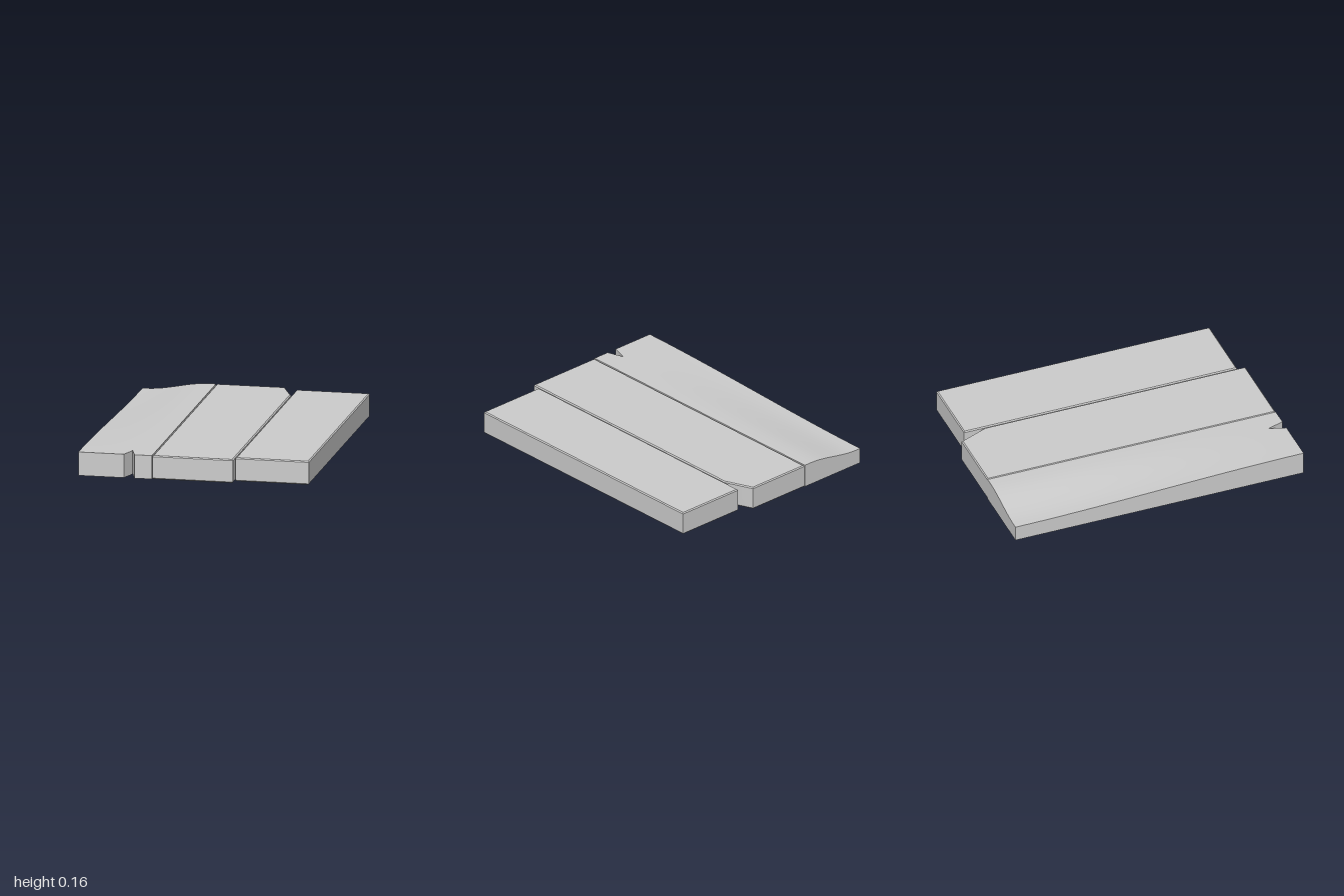
import * as THREE from 'three';
import { toCreasedNormals } from 'three/addons/utils/BufferGeometryUtils.js';

const HEIGHT = 0.156;
const material = new THREE.MeshStandardMaterial({ color: 0xcccccc });

// Flat plank with slightly chamfered edges, from an outline of [x, z] corners
function bevelledPlank(name, outline) {
  const b = 0.007;
  const shape = new THREE.Shape(outline.map(([x, z]) => new THREE.Vector2(x, -z)));
  const geo = new THREE.ExtrudeGeometry(shape, {
    depth: HEIGHT - 2 * b, bevelThickness: b, bevelSize: b, bevelOffset: -b, bevelSegments: 1,
  });
  geo.rotateX(-Math.PI / 2);
  geo.translate(0, b, 0);
  const mesh = new THREE.Mesh(toCreasedNormals(geo, 0.4), material);
  mesh.name = name;
  return mesh;
}

// Plank worn down towards its outer back corner, with a V notch in the front end
function wornPlank() {
  const columns = [-0.755, -0.70, -0.65, -0.60, -0.55, -0.50, -0.455, -0.42, -0.385, -0.33, -0.27];
  const nx = columns.length - 1, nz = 14;
  const geo = new THREE.BoxGeometry(1, 1, 1, nx, 1, nz);
  const pos = geo.attributes.position;
  for (let i = 0; i < pos.count; i++) {
    const x = columns[Math.round((pos.getX(i) + 0.5) * nx)];
    let z = pos.getZ(i) * 2;
    if (z > 0.99 && x === -0.42) z = 0.89;
    const across = 1 - THREE.MathUtils.smoothstep(x, -0.72, -0.32);
    const along = 1 - THREE.MathUtils.smoothstep(z, -1, 1);
    const y = pos.getY(i) > 0 ? HEIGHT - 0.052 * across * along : 0;
    pos.setXYZ(i, x, y, z);
  }
  const mesh = new THREE.Mesh(toCreasedNormals(geo, 0.4), material);
  mesh.name = 'wornNotchedPlank';
  return mesh;
}

export function createModel() {
  const group = new THREE.Group();
  group.name = 'plankFloor';
  group.add(
    wornPlank(),
    // Middle plank with a clipped back corner
    bevelledPlank('middlePlank', [[-0.266, 1], [0.264, 1], [0.264, -0.81], [0.185, -1], [-0.266, -1]]),
    // Shorter plank
    bevelledPlank('shortPlank', [[0.27, 0.945], [0.753, 0.945], [0.753, -0.95], [0.27, -0.95]]),
  );
  return group;
}
